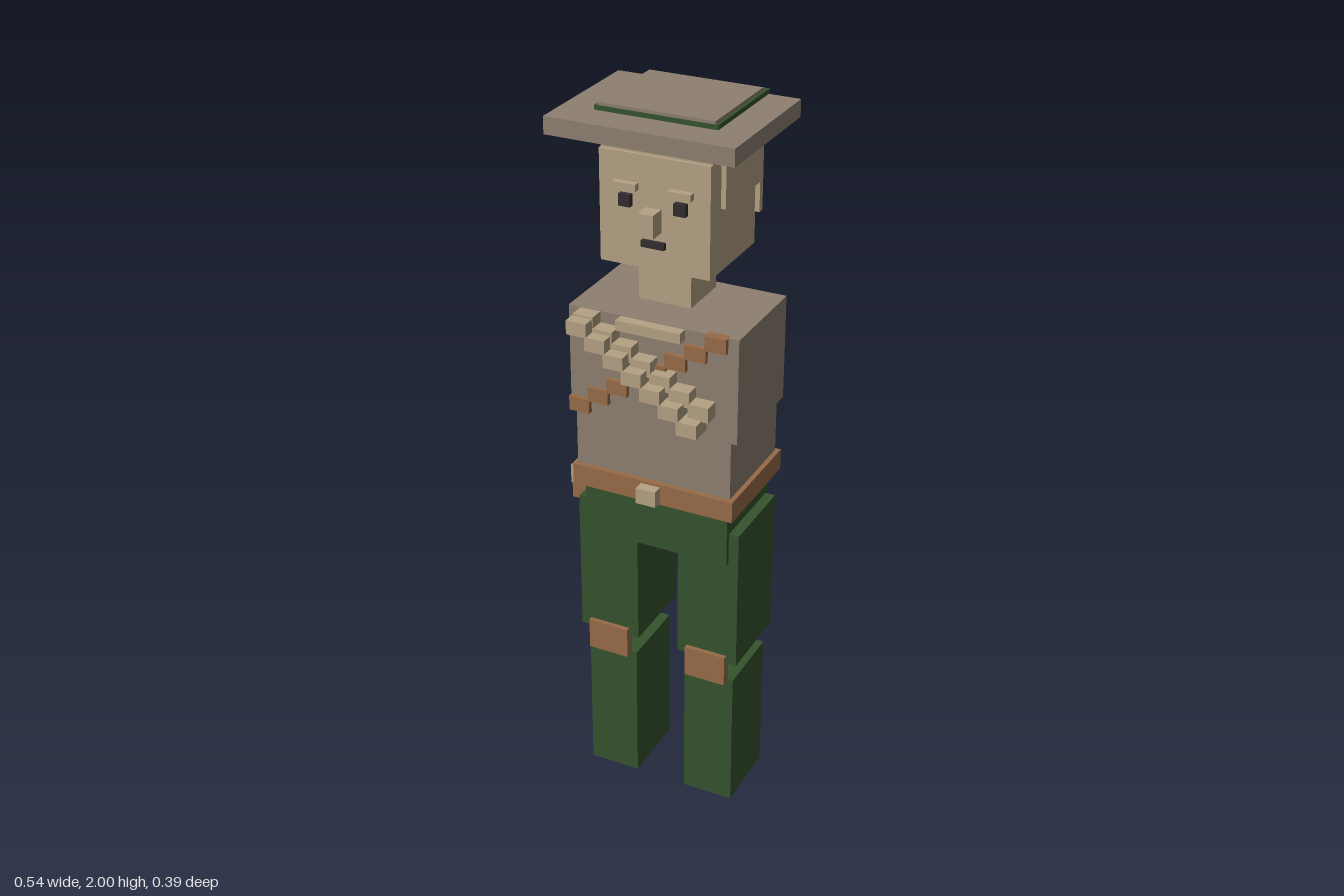
import * as THREE from 'three';

const material = (name, color) => {
  const m = new THREE.MeshStandardMaterial({ color });
  m.name = name;
  return m;
};

export function createModel() {
  const tan = material('tan', 0xb5a283);
  const taupe = material('taupe', 0x8e8071);
  const leather = material('leather brown', 0x986b48);
  const green = material('dark green', 0x35532d);
  const dark = material('near black', 0x322c2e);

  const model = new THREE.Group();
  model.name = 'blockFigure';

  const group = (name) => {
    const g = new THREE.Group();
    g.name = name;
    model.add(g);
    return g;
  };

  // Box given by its limits along each axis
  const box = (parent, name, mat, [x0, x1], [y0, y1], [z0, z1]) => {
    const mesh = new THREE.Mesh(new THREE.BoxGeometry(x1 - x0, y1 - y0, z1 - z0), mat);
    mesh.position.set((x0 + x1) / 2, (y0 + y1) / 2, (z0 + z1) / 2);
    mesh.name = name;
    parent.add(mesh);
  };

  // Stepped diagonal row of boxes between two centres
  const steps = (parent, name, mat, n, [xa, ya], [xb, yb], w, h, z) => {
    for (let i = 0; i < n; i++) {
      const t = i / (n - 1);
      const x = xa + (xb - xa) * t, y = ya + (yb - ya) * t;
      box(parent, name, mat, [x - w / 2, x + w / 2], [y - h / 2, y + h / 2], z);
    }
  };

  // The figure is mirrored about this line
  const cx = 0.018;
  const sided = (side, a, b) => (side > 0 ? [cx + a, cx + b] : [cx - b, cx - a]);

  // Legs
  for (const side of [-1, 1]) {
    const leg = group(side > 0 ? 'leftLeg' : 'rightLeg');
    box(leg, 'thigh', green, sided(side, 0.06, 0.235), [0.478, 0.89], [-0.145, 0.09]);
    box(leg, 'kneePad', leather, sided(side, 0.088, 0.206), [0.413, 0.503], [0.076, 0.103]);
    box(leg, 'shin', green, sided(side, 0.074, 0.22), [0, 0.413], [-0.132, 0.074]);
  }

  // Torso, hips and belt
  const torso = group('torso');
  box(torso, 'hips', green, [-0.188, 0.225], [0.8, 0.96], [-0.16, 0.103]);
  box(torso, 'belt', leather, [-0.21, 0.25], [0.953, 1.012], [-0.182, 0.13]);
  box(torso, 'buckle', tan, [-0.01, 0.046], [0.96, 1.005], [0.12, 0.16]);
  box(torso, 'waist', taupe, [-0.203, 0.237], [1.0, 1.2], [-0.173, 0.115]);
  box(torso, 'chest', taupe, [-0.217, 0.254], [1.175, 1.465], [-0.174, 0.116]);
  box(torso, 'collar', tan, [-0.07, 0.108], [1.436, 1.464], [0.11, 0.145]);

  // Crossed straps
  steps(torso, 'strapFront', leather, 8, [0.196, 1.445], [-0.187, 1.192], 0.058, 0.04, [0.1, 0.13]);
  steps(torso, 'strapBack', leather, 6, [0.205, 1.44], [-0.185, 1.202], 0.055, 0.04, [-0.184, -0.16]);
  steps(torso, 'bandolier', tan, 7, [-0.155, 1.443], [0.165, 1.263], 0.056, 0.042, [0.1, 0.158]);
  steps(torso, 'bandolierPocket', tan, 7, [-0.157, 1.44], [0.148, 1.227], 0.056, 0.038, [0.13, 0.191]);

  // Hip pouch on the right side
  const pouch = group('pouch');
  box(pouch, 'pouchBody', leather, [-0.263, -0.205], [0.85, 0.915], [-0.11, 0.043]);
  box(pouch, 'pouchFlap', tan, [-0.257, -0.2], [0.905, 0.96], [-0.116, 0.06]);
  box(pouch, 'pouchClasp', tan, [-0.27, -0.25], [0.9, 0.945], [-0.078, 0.012]);

  // Head and hair
  const head = group('head');
  box(head, 'neck', tan, [-0.055, 0.09], [1.487, 1.605], [-0.1, 0.045]);
  box(head, 'skull', tan, [-0.13, 0.167], [1.6, 1.89], [-0.16, 0.103]);
  box(head, 'hairTop', tan, [-0.13, 0.167], [1.88, 1.925], [-0.165, 0.094]);
  box(head, 'hairSides', tan, [-0.146, 0.18], [1.765, 1.925], [-0.165, 0.045]);
  box(head, 'hairBack', tan, [-0.146, 0.18], [1.685, 1.925], [-0.175, -0.157]);
  steps(head, 'braid', tan, 4, [0.018, 1.88], [0.018, 1.73], 0.045, 0.03, [-0.178, -0.16]);
  box(head, 'braidEnd', tan, [-0.01, 0.046], [1.64, 1.715], [-0.186, -0.162]);

  // Face
  for (const side of [-1, 1]) {
    box(head, 'eye', dark, sided(side, 0.058, 0.09), [1.757, 1.788], [0.09, 0.118]);
    box(head, 'brow', tan, sided(side, 0.042, 0.105), [1.8, 1.818], [0.09, 0.121]);
  }
  box(head, 'nose', tan, [-0.004, 0.037], [1.7, 1.76], [0.09, 0.148]);
  box(head, 'mouth', dark, [-0.013, 0.05], [1.66, 1.677], [0.09, 0.115]);

  // Hat
  const hat = group('hat');
  box(hat, 'brim', taupe, [-0.229, 0.267], [1.935, 1.98], [-0.19, 0.192]);
  box(hat, 'hatBand', green, [-0.142, 0.182], [1.92, 1.992], [-0.196, 0.099]);
  box(hat, 'crown', taupe, [-0.134, 0.174], [1.93, 2.0], [-0.174, 0.097]);

  return model;
}
